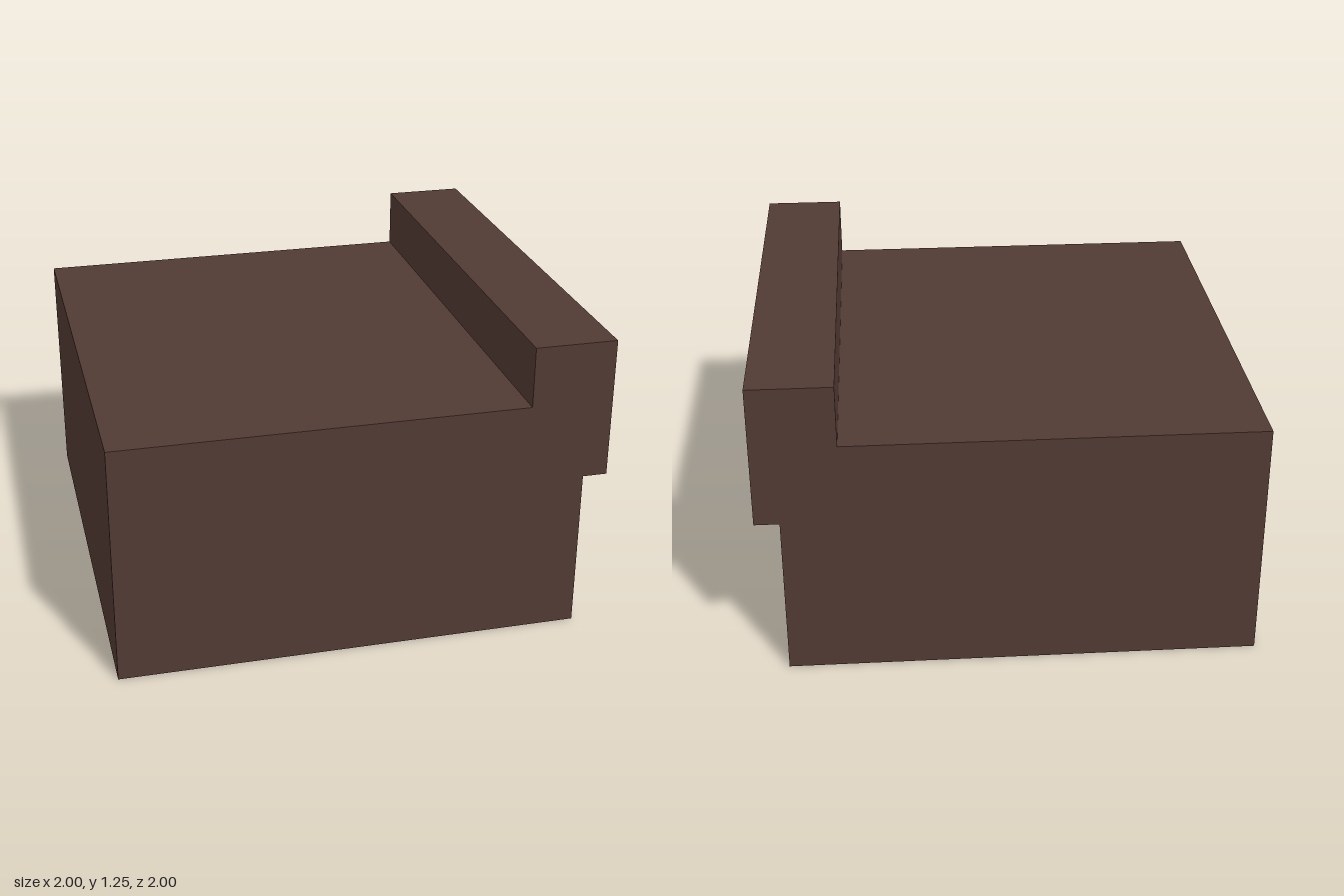
import * as THREE from 'three';

export function createModel() {
  const group = new THREE.Group();
  group.name = 'ledgeBlock';

  const brown = new THREE.MeshStandardMaterial({ color: 0x523a34 });
  brown.name = 'dark brown';

  // Cross-section: a block with a raised lip overhanging its left side
  const profile = new THREE.Shape([
    [-1, 0], [0.9, 0], [0.9, 0.67], [1, 0.67],
    [1, 1.25], [0.665, 1.25], [0.665, 1], [-1, 1],
  ].map(([x, y]) => new THREE.Vector2(x, y)));

  // Run the section from back to front
  const geometry = new THREE.ExtrudeGeometry(profile, { depth: 2, bevelEnabled: false });
  geometry.translate(0, 0, -1);

  const block = new THREE.Mesh(geometry, brown);
  block.name = 'blockWithLip';
  group.add(block);

  return group;
}
